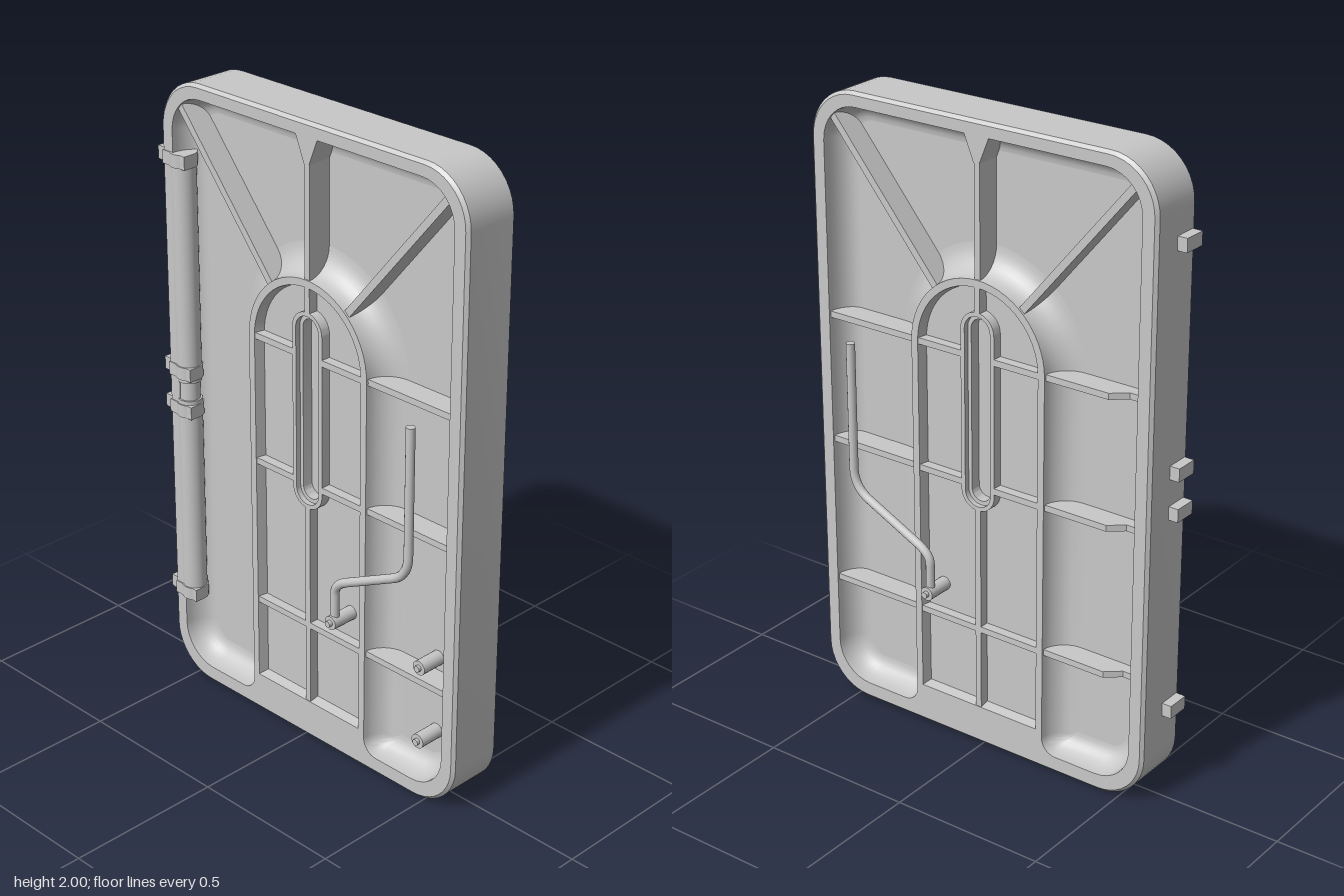
import * as THREE from 'three';
import { toCreasedNormals } from 'three/addons/utils/BufferGeometryUtils.js';

const CX = 0.0155;   // centre of the door leaf
const F = 0.094;     // half thickness of the leaf
const FLOOR = 0.012; // pocket floor height
const PANEL = 0.061; // panel floor height
const ARCH_Y = 1.29; // centre of the arch
const PI = Math.PI;

const steel = new THREE.MeshStandardMaterial({ color: 0xc8c8c8 });
steel.name = 'light grey steel';

function add(parent, geo, name, x = 0, y = 0, z = 0) {
  const m = new THREE.Mesh(geo, steel);
  m.name = name;
  m.position.set(x, y, z);
  parent.add(m);
  return m;
}

// Points on an arc
function arc(cx, cy, r, a0, a1, n = 8) {
  return Array.from({ length: n + 1 }, (_, i) => {
    const a = a0 + (a1 - a0) * i / n;
    return new THREE.Vector2(cx + r * Math.cos(a), cy + r * Math.sin(a));
  });
}

function roundRect(w, y0, y1, r, n = 10) {
  return [
    ...arc(w - r, y0 + r, r, -PI / 2, 0, n), ...arc(w - r, y1 - r, r, 0, PI / 2, n),
    ...arc(r - w, y1 - r, r, PI / 2, PI, n), ...arc(r - w, y0 + r, r, PI, 1.5 * PI, n),
  ];
}

// Pocket outline around the arch, inset by o at the frame and by a at the arch
function pocketLoop(o, a) {
  const w = 0.555 - o, y0 = 0.055 + o, y1 = 1.955 - o, h = 0.24 + a;
  const R = Math.max(0.12 - o, 0.01), r = Math.max(0.05 - o, 0.01);
  return [
    ...arc(h + r, y0 + r, r, PI, 1.5 * PI), ...arc(w - R, y0 + R, R, -PI / 2, 0),
    ...arc(w - R, y1 - R, R, 0, PI / 2), ...arc(R - w, y1 - R, R, PI / 2, PI),
    ...arc(R - w, y0 + R, R, PI, 1.5 * PI), ...arc(-h - r, y0 + r, r, -PI / 2, 0),
    ...arc(0, ARCH_Y, h, PI, 0, 28),
  ];
}

const panelLoop = i => [
  new THREE.Vector2(i - 0.217, 0.128 + i), new THREE.Vector2(0.217 - i, 0.128 + i),
  ...arc(0, ARCH_Y, 0.217 - i, 0, PI, 28),
];

// Skin between closed loops of equal length, each at its own depth
function loft(loops, zs) {
  const n = loops[0].length, pos = [], idx = [];
  loops.forEach((l, i) => l.forEach(p => pos.push(p.x, p.y, zs[i])));
  for (let i = 0; i < loops.length - 1; i++) {
    for (let j = 0; j < n; j++) {
      const a = i * n + j, b = i * n + (j + 1) % n;
      idx.push(a, b, b + n, a, b + n, a + n);
    }
  }
  const g = new THREE.BufferGeometry();
  g.setAttribute('position', new THREE.Float32BufferAttribute(pos, 3));
  g.setIndex(idx);
  return toCreasedNormals(g, 0.6);
}

function flat(loop, holes = []) {
  const s = new THREE.Shape(loop);
  s.holes = holes.map(h => new THREE.Path(h));
  return new THREE.ShapeGeometry(s);
}

function slab(loop, holes, depth) {
  const s = new THREE.Shape(loop);
  s.holes = holes.map(h => new THREE.Path(h));
  return toCreasedNormals(new THREE.ExtrudeGeometry(s, { depth, bevelEnabled: false }), 0.6);
}

// Straight rib between two points, from z0 up to z1
function rib(parent, name, x0, y0, x1, y1, z0, z1, t = 0.02) {
  const len = Math.hypot(x1 - x0, y1 - y0);
  const m = add(parent, new THREE.BoxGeometry(len, t, z1 - z0), name, (x0 + x1) / 2, (y0 + y1) / 2, (z0 + z1) / 2);
  m.rotation.z = Math.atan2(y1 - y0, x1 - x0);
}

// One face of the leaf, facing +z
function leafFace() {
  const g = new THREE.Group();
  add(g, flat(roundRect(0.594, 0.01, 1.99, 0.15), [pocketLoop(0, 0), panelLoop(0)]), 'face', 0, 0, F);

  // Pocket with rounded walls
  const ts = Array.from({ length: 9 }, (_, i) => i / 8 * PI / 2);
  const loops = ts.map(t => pocketLoop(0.06 * (1 - Math.cos(t)), 0.085 * (1 - Math.cos(t))));
  add(g, loft(loops, ts.map(t => F - (F - FLOOR) * Math.sin(t))), 'pocketWall');
  add(g, flat(loops[8]), 'pocketFloor', 0, 0, FLOOR);

  // Arched panel with its grid
  add(g, loft([panelLoop(0), panelLoop(0.007)], [F, PANEL]), 'panelWall');
  add(g, flat(panelLoop(0.007), [roundRect(0.046, 0.813, 1.417, 0.045)]), 'panelFloor', 0, 0, PANEL);
  const top = F - 0.002;
  for (const y of [0.4, 0.88, 1.29]) {
    for (const s of [-1, 1]) {
      const inner = y > 0.8 ? 0.05 : 0;
      rib(g, 'panelRib', s * inner, y, s * 0.225, y, 0.05, top);
    }
  }
  rib(g, 'panelSpine', 0, 0.12, 0, 0.81, 0.05, top);
  rib(g, 'panelSpine', 0, 1.42, 0, 1.515, 0.05, top);

  // Long slot with a stepped rim
  add(g, slab(roundRect(0.06, 0.8, 1.43, 0.059), [roundRect(0.046, 0.813, 1.417, 0.045)], top - 0.03), 'slotRim', 0, 0, 0.03);
  add(g, slab(roundRect(0.047, 0.812, 1.418, 0.046), [roundRect(0.034, 0.826, 1.404, 0.033)], 0.045), 'slotLedge', 0, 0, 0.03);
  add(g, flat(roundRect(0.047, 0.812, 1.418, 0.046)), 'slotFloor', 0, 0, 0.04);

  // Ribs fanning out above the arch
  for (const s of [-1, 1]) rib(g, 'diagonalRib', s * 0.145, 1.46, s * 0.525, 1.915, 0, F - 0.006, 0.023);
  rib(g, 'topRib', 0, 1.52, 0, 1.96, 0, F - 0.004);
  const gusset = [[-0.01, 1.875], [0.01, 1.875], [0.045, 1.96], [-0.045, 1.96]].map(p => new THREE.Vector2(...p));
  add(g, slab(gusset, [], F - 0.002), 'topGusset');
  return g;
}

// Crank handle on the side given by s
function handle(s) {
  const g = new THREE.Group();
  g.name = 'handle';
  const V = (x, y) => new THREE.Vector3(x, y, s * 0.13);
  const path = new THREE.CurvePath();
  path.add(new THREE.LineCurve3(V(0.168, 0.495), V(0.168, 0.59)));
  path.add(new THREE.QuadraticBezierCurve3(V(0.168, 0.59), V(0.168, 0.62), V(0.21, 0.642)));
  path.add(new THREE.LineCurve3(V(0.21, 0.642), V(0.4, 0.735)));
  path.add(new THREE.QuadraticBezierCurve3(V(0.4, 0.735), V(0.46, 0.763), V(0.46, 0.83)));
  path.add(new THREE.LineCurve3(V(0.46, 0.83), V(0.46, 1.237)));
  add(g, new THREE.TubeGeometry(path, 80, 0.014, 12), 'handleRod');
  add(g, new THREE.CylinderGeometry(0.014, 0.014, 0.004, 12), 'handleEnd', 0.46, 1.236, s * 0.13);
  pin(g, 'handlePivot', 0.168, 0.495, s, 0.04, 0.15, 0.022, 0.162);
  return g;
}

// Stepped pin standing off the leaf
function pin(parent, name, x, y, s, z0, z1, r, tip) {
  for (const [a, b, rad] of [[z0, z1, r], [z0, tip, r * 0.45]]) {
    const m = add(parent, new THREE.CylinderGeometry(rad, rad, b - a, 18), name, x, y, s * (a + b) / 2);
    m.rotation.x = PI / 2;
  }
}

export function createModel() {
  const model = new THREE.Group();
  model.name = 'door';

  // Leaf
  const leaf = new THREE.Group();
  leaf.name = 'leaf';
  leaf.position.x = CX;
  model.add(leaf);
  const rims = [0.01, 0, 0, 0.01].map(i => roundRect(0.604 - i, i, 2 - i, 0.16 - i));
  add(leaf, loft(rims, [-F, 0.01 - F, F - 0.01, F]), 'edge');
  const front = leafFace(), back = leafFace();
  front.name = 'frontFace';
  back.name = 'backFace';
  back.rotation.y = PI;
  leaf.add(front, back);

  // Side ribs; those behind the hinge are cut away near the frame
  const cut = [[0.235, 0], [0.57, 0], [0.57, 0.05], [0.5, 0.05], [0.455, F - 0.006], [0.235, F - 0.006]]
    .map(p => new THREE.Vector2(...p));
  for (const y of [0.4, 0.88, 1.29]) {
    rib(front, 'sideRib', 0.235, y, 0.565, y, 0, F - 0.006);
    rib(back, 'sideRib', -0.235, y, -0.565, y, 0, F - 0.006);
    add(back, slab(cut, [], 0.02), 'cutSideRib', 0, y + 0.01, 0).rotation.x = PI / 2;
  }

  // Handles and pins
  model.add(handle(1), handle(-1));
  for (const y of [0.2, 0.453]) pin(model, 'stopPin', 0.477, y, 1, 0.01, 0.096, 0.023, 0.106);

  // Hinge, its knuckles and brackets lapping over the frame
  const hinge = new THREE.Group();
  hinge.name = 'hinge';
  model.add(hinge);
  const tube = (name, y0, y1, r) =>
    add(hinge, new THREE.CylinderGeometry(r, r, y1 - y0, 24), name, -0.529, (y0 + y1) / 2, 0.062);
  tube('hingeBarrel', 0.29, 0.97, 0.038);
  tube('hingeBarrel', 1.03, 1.75, 0.038);
  tube('hingeCore', 0.95, 1.05, 0.032);
  for (const y of [0.291, 0.936, 1.063, 1.746]) {
    tube('hingeKnuckle', y - 0.021, y + 0.021, 0.042);
    add(hinge, new THREE.BoxGeometry(0.06, 0.042, 0.075), 'hingeBracket', -0.59, y, 0.0425);
    add(hinge, new THREE.BoxGeometry(0.095, 0.042, 0.04), 'hingeStrap', -0.5345, y, 0.077);
  }
  return model;
}
